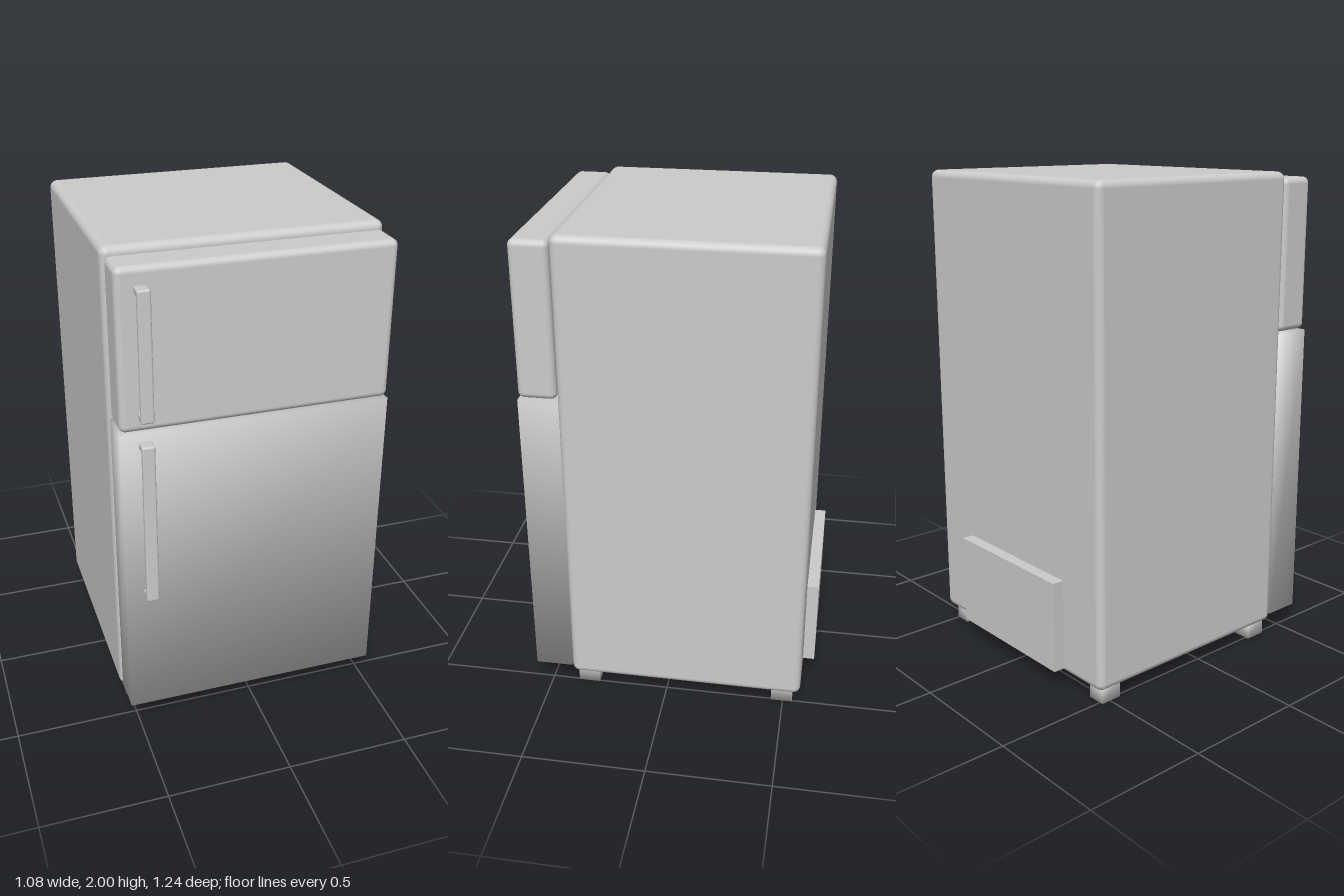
import * as THREE from 'three';
import { RoundedBoxGeometry } from 'three/addons/geometries/RoundedBoxGeometry.js';

const grey = new THREE.MeshStandardMaterial({ color: 0xcccccc });

// Every part is given by its extents: [x0, x1], [y0, y1], [z0, z1].
function place(parent, name, makeGeometry, ...ranges) {
  const size = ranges.map(([a, b]) => b - a);
  const mesh = new THREE.Mesh(makeGeometry(...size), grey);
  mesh.position.set(...ranges.map(([a, b]) => (a + b) / 2));
  mesh.name = name;
  parent.add(mesh);
  return mesh;
}

const rounded = (radius, segments = 4) => (w, h, d) => new RoundedBoxGeometry(w, h, d, segments, radius);
const plain = (w, h, d) => new THREE.BoxGeometry(w, h, d);

// Sharp box whose corner normals are shared, for soft shading across the faces.
function softBox(w, h, d) {
  const geometry = new THREE.BoxGeometry(w, h, d);
  const p = geometry.attributes.position;
  const n = geometry.attributes.normal;
  const v = new THREE.Vector3();
  for (let i = 0; i < p.count; i++) {
    v.set(Math.sign(p.getX(i)), Math.sign(p.getY(i)), Math.sign(p.getZ(i))).normalize();
    n.setXYZ(i, v.x, v.y, v.z);
  }
  return geometry;
}

// Upright grip held off the door by a short mount at each end.
function addHandle(parent, name, y0, y1) {
  const handle = new THREE.Group();
  handle.name = name;
  const x = [-0.465, -0.415];
  place(handle, 'grip', rounded(0.008, 3), x, [y0, y1], [0.594, 0.618]);
  for (const y of [y0, y1 - 0.028]) {
    place(handle, 'mount', rounded(0.008, 3), x, [y, y + 0.028], [0.56, 0.618]);
  }
  parent.add(handle);
}

export function createModel() {
  const fridge = new THREE.Group();
  fridge.name = 'refrigerator';

  // Cabinet and doors
  place(fridge, 'cabinet', rounded(0.03), [-0.542, 0.54], [0.065, 2], [-0.572, 0.407]);
  place(fridge, 'freezerDoor', rounded(0.025), [-0.532, 0.525], [1.35, 1.975], [0.412, 0.565]);
  place(fridge, 'mainDoor', softBox, [-0.534, 0.525], [0.09, 1.345], [0.41, 0.565]);

  // Handles
  addHandle(fridge, 'freezerHandle', 1.405, 1.908);
  addHandle(fridge, 'mainHandle', 0.635, 1.312);

  // Compressor cover on the back
  place(fridge, 'backCover', plain, [-0.318, 0.314], [0.085, 0.462], [-0.62, -0.57]);

  // Feet
  for (const x of [-0.515, 0.43]) {
    for (const z of [-0.54, 0.295]) {
      place(fridge, 'foot', softBox, [x, x + 0.075], [0, 0.075], [z, z + 0.09]);
    }
  }
  return fridge;
}
